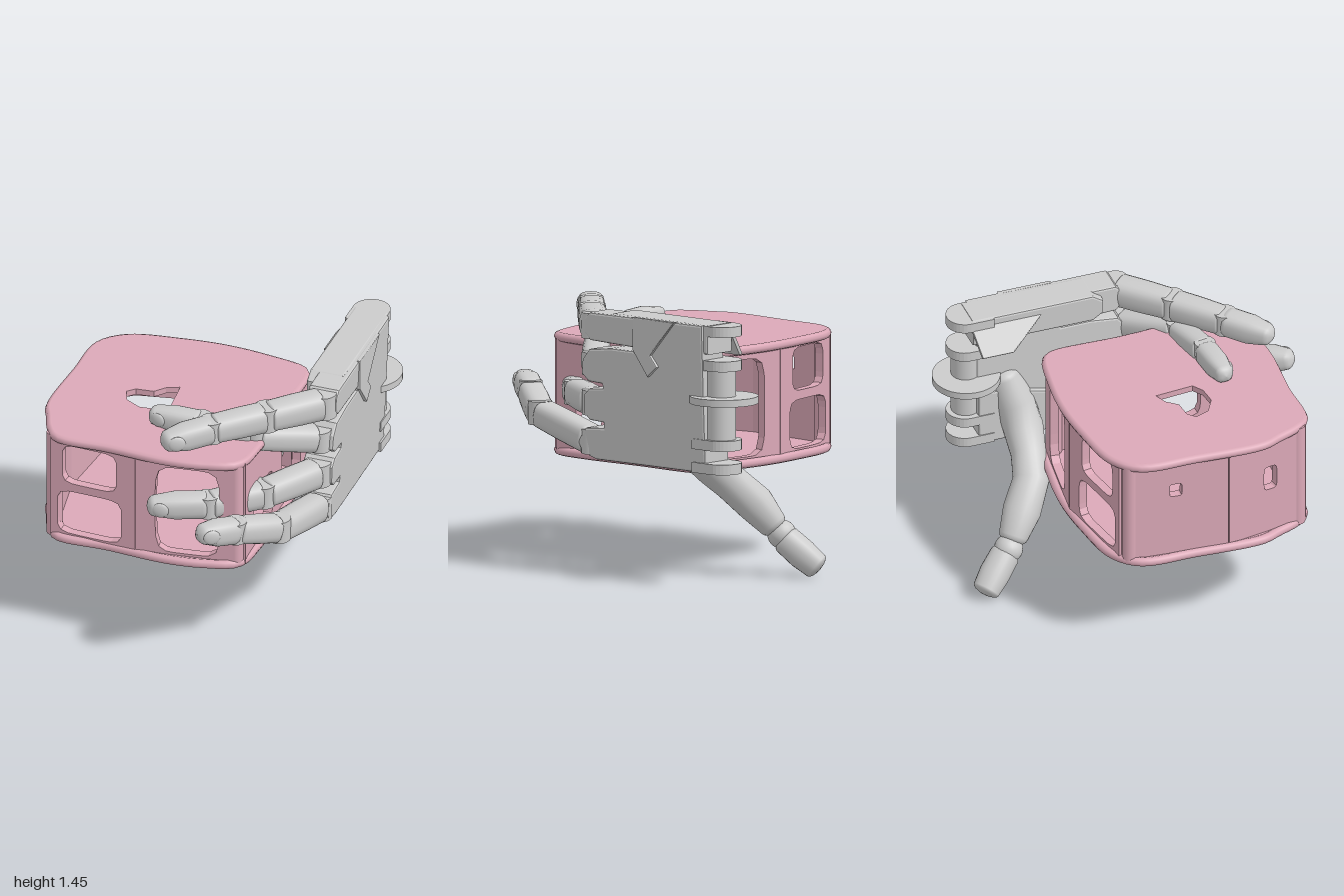
import * as THREE from 'three';

const grey = new THREE.MeshStandardMaterial({ color: 0xcccccc });
const pink = new THREE.MeshStandardMaterial({ color: 0xdca9b8, side: THREE.DoubleSide });
const V = (p) => new THREE.Vector3(...p);

function add(parent, name, geometry, material = grey) {
  const mesh = new THREE.Mesh(geometry, material);
  mesh.name = name;
  parent.add(mesh);
  return mesh;
}

// Rounded-square loft through centres with a radius at each; ends are closed by domes.
function loft(centres, radii, square = 2.6, domeLength = 0.6) {
  const pts = centres.map(V), N = 24, rings = [], n = pts.length;
  const dirAt = (i) => pts[Math.min(i + 1, n - 1)].clone().sub(pts[Math.max(i - 1, 0)]).normalize();
  const dome = [[0.02, 1], [0.45, 0.88], [0.75, 0.64], [0.93, 0.35]];
  const d0 = dirAt(0), d1 = dirAt(n - 1);
  for (const [s, h] of dome) rings.push([pts[0].clone().addScaledVector(d0, -h * domeLength * radii[0]), radii[0] * s, d0]);
  pts.forEach((p, i) => rings.push([p, radii[i], dirAt(i)]));
  for (const [s, h] of [...dome].reverse()) rings.push([pts[n - 1].clone().addScaledVector(d1, h * domeLength * radii[n - 1]), radii[n - 1] * s, d1]);
  const pos = [], idx = [];
  rings.forEach(([c, r, d], i) => {
    const side = new THREE.Vector3(0, 1, 0).cross(d).normalize();
    const up = d.clone().cross(side);
    for (let j = 0; j < N; j++) {
      const a = (j / N) * Math.PI * 2, ca = Math.cos(a), sa = Math.sin(a);
      const k = r / Math.pow(Math.abs(ca) ** square + Math.abs(sa) ** square, 1 / square);
      pos.push(...c.clone().addScaledVector(side, ca * k).addScaledVector(up, sa * k).toArray());
      if (i === rings.length - 1) continue;
      const p = i * N + j, q = i * N + ((j + 1) % N);
      idx.push(p, q, p + N, q, q + N, p + N);
    }
  });
  const g = new THREE.BufferGeometry();
  g.setAttribute('position', new THREE.Float32BufferAttribute(pos, 3));
  g.setIndex(idx);
  g.computeVertexNormals();
  return g;
}

const mix = (a, b, t) => a.map((v, i) => v + (b[i] - v) * t);

// Three tapering phalanges with rounded joints between, and a nail on the tip.
function finger(name, p, r) {
  const g = new THREE.Group();
  g.name = name;
  for (let i = 0; i < 3; i++) {
    const k = r * (1 - 0.05 * i), a = p[i], b = p[i + 1];
    const end = i === 2 ? 0.8 : 0.92;
    add(g, 'phalanx', loft([mix(a, b, 0.1), mix(a, b, 0.5), mix(a, b, end)], [k, k, k * (i === 2 ? 0.76 : 0.95)], 3, i === 2 ? 0.75 : 0.35));
    const joint = add(g, 'joint', new THREE.CylinderGeometry(k * 0.88, k * 0.88, k * 1.7, 20));
    joint.position.set(...a);
  }
  const d = V(p[3]).sub(V(p[2])).normalize();
  const side = new THREE.Vector3(0, 1, 0).cross(d).normalize();
  const nail = add(g, 'nail', new THREE.SphereGeometry(1, 16, 10));
  nail.scale.set(r * 0.2, r * 0.55, r * 0.6);
  nail.position.copy(V(mix(p[2], p[3], 0.72))).addScaledVector(side, r * 0.68);
  nail.lookAt(nail.position.clone().add(d).addScaledVector(side, -0.25));
  return g;
}

// Outline in (z, y), extruded along x from x0.
function sideExtrude(outline, x0, width, bevel) {
  const s = new THREE.Shape(outline.map(([z, y]) => new THREE.Vector2(-z, y)));
  const g = new THREE.ExtrudeGeometry(s, { depth: width - 2 * bevel, bevelEnabled: bevel > 0, bevelSize: bevel, bevelThickness: bevel, bevelOffset: -bevel, bevelSegments: 2 });
  return g.rotateY(Math.PI / 2).translate(x0 + bevel, 0, 0);
}

// Outline in (x, z), extruded upward from y0.
function plate(outline, y0, height, hole) {
  const to2 = ([x, z]) => new THREE.Vector2(x, -z);
  const s = new THREE.Shape(outline.map(to2));
  if (hole) s.holes.push(new THREE.Path(hole.map(to2)));
  return new THREE.ExtrudeGeometry(s, { depth: height, bevelEnabled: false }).rotateX(-Math.PI / 2).translate(0, y0, 0);
}

// Upright wall from a to b in (x, z), with soft windows [u0, u1, y0, y1].
function wall(parent, name, a, b, windows) {
  const L = Math.hypot(b[0] - a[0], b[1] - a[1]);
  const s = new THREE.Shape([[0, 0.6], [L, 0.6], [L, 1.24], [0, 1.24]].map((p) => new THREE.Vector2(...p)));
  for (const [u0, u1, y0, y1] of windows) {
    const pts = [];
    for (let i = 0; i < 32; i++) {
      const t = (i / 32) * Math.PI * 2, c = Math.cos(t), n = Math.sin(t);
      const k = 0.5 / Math.pow(c ** 6 + n ** 6, 1 / 6);
      pts.push(new THREE.Vector2((u0 + u1) / 2 + c * k * (u1 - u0), (y0 + y1) / 2 + n * k * (y1 - y0)));
    }
    s.holes.push(new THREE.Path(pts));
  }
  const m = add(parent, name, new THREE.ExtrudeGeometry(s, { depth: 0.05, bevelEnabled: false }).translate(0, 0, -0.025), pink);
  m.position.set(a[0], 0, a[1]);
  m.rotation.y = -Math.atan2(b[1] - a[1], b[0] - a[0]);
}

function buildCrate() {
  const g = new THREE.Group();
  g.name = 'crate';
  const curve = new THREE.CatmullRomCurve3([
    [-0.79, 0.4], [-0.78, 0], [-0.76, -0.3], [-0.64, -0.42], [-0.35, -0.48], [-0.1, -0.5], [0.15, -0.48], [0.38, -0.43], [0.41, -0.38],
    [0.41, 0], [0.42, 0.4], [0.38, 0.62], [0.2, 0.69], [0, 0.715], [-0.35, 0.695], [-0.64, 0.69], [-0.7, 0.62], [-0.75, 0.5],
  ].map(([x, z]) => new THREE.Vector3(x, 0, z)), true, 'centripetal');
  const outline = curve.getPoints(90).slice(0, -1).map((p) => [p.x, p.z]);
  const hole = [[-0.44, 0.14], [-0.4, 0.1], [-0.3, 0.09], [-0.25, 0.03], [-0.18, 0], [-0.16, 0.22], [-0.22, 0.26], [-0.32, 0.27], [-0.41, 0.22]];
  add(g, 'lid', plate(outline, 1.225, 0.035, hole), pink);
  add(g, 'floor', plate(outline, 0.59, 0.035), pink);
  for (const y of [1.235, 0.607]) {
    add(g, 'rim', new THREE.TubeGeometry(curve, 100, 0.026, 8, true), pink).position.y = y;
  }
  // Front and back walls share the same pattern of windows
  const left = [[0.07, 0.39, 0.96, 1.2], [0.04, 0.42, 0.64, 0.91]], right = [[0.11, 0.47, 0.64, 1.18]];
  wall(g, 'frontWall', [-0.68, 0.665], [-0.18, 0.69], left);
  wall(g, 'frontWall', [-0.18, 0.69], [0.37, 0.62], right);
  wall(g, 'backWall', [-0.69, -0.38], [-0.18, -0.48], left);
  wall(g, 'backWall', [-0.18, -0.48], [0.38, -0.41], right);
  wall(g, 'leftWall', [-0.72, -0.33], [-0.765, 0.2], [[0.2, 0.27, 1.0, 1.08]]);
  wall(g, 'leftWall', [-0.765, 0.2], [-0.69, 0.62], [[0.22, 0.3, 0.9, 1.05]]);
  wall(g, 'rightWall', [0.385, -0.4], [0.395, 0.6], [[0.1, 0.4, 0.66, 1.16], [0.55, 0.86, 0.66, 0.96]]);
  for (const [x, z] of [[-0.705, -0.345], [0.37, -0.395], [0.365, 0.6], [-0.675, 0.64]]) {
    add(g, 'cornerPost', new THREE.CylinderGeometry(0.045, 0.045, 0.64, 16), pink).position.set(x, 0.92, z);
  }
  return g;
}

function buildPalm() {
  const g = new THREE.Group();
  g.name = 'palm';
  // Slab with a lobe for each finger
  const slab = sideExtrude([
    [-0.77, 0.65], [0.03, 0.65], [0.13, 0.68], [0.16, 0.74], [0.1, 0.82], [-0.03, 0.83], [-0.03, 0.86], [0.07, 0.865], [0.11, 0.9], [0.11, 1.0],
    [0.07, 1.04], [-0.03, 1.05], [-0.03, 1.075], [0.07, 1.08], [0.12, 1.12], [0.11, 1.2], [0.06, 1.26], [-0.1, 1.28],
    [-0.27, 1.28], [-0.27, 1.3], [0.05, 1.31], [0.09, 1.35], [0.09, 1.43], [0.05, 1.465], [-0.77, 1.47],
  ], 0.575, 0.175, 0.012);
  const pos = slab.attributes.position;
  for (let i = 0; i < pos.count; i++) pos.setX(i, pos.getX(i) + 0.04 * (pos.getY(i) - 1.06) + 0.01 * pos.getZ(i));
  slab.computeVertexNormals();
  add(g, 'palmSlab', slab);
  add(g, 'upperRidge', sideExtrude([[-0.8, 1.31], [-0.1, 1.31], [-0.04, 1.35], [-0.04, 1.43], [-0.1, 1.47], [-0.8, 1.47]], 0.54, 0.2, 0.012));
  add(g, 'lowerRidge', sideExtrude([[-0.77, 0.65], [-0.05, 0.65], [0.05, 0.72], [-0.1, 0.85], [-0.77, 1.0]], 0.535, 0.15, 0.012));
  add(g, 'creasePlate', sideExtrude([[-0.27, 1.29], [-0.38, 1.15], [-0.45, 1.21], [-0.4, 1.27], [-0.58, 1.47], [-0.27, 1.47]], 0.745, 0.025, 0.006));
  // Thin web leaning inward beside the upper ridge
  const web = sideExtrude([[-0.81, 1.44], [-0.78, 1.25], [-0.6, 1.25], [-0.38, 1.44]], 0, 0.025, 0.005);
  web.translate(0, -1.44, 0).rotateZ(-0.65).translate(0.55, 1.44, 0);
  add(g, 'web', web);

  // Wrist lugs with rounded backs, and a wider disc in the middle
  const lug = [[0.74, -0.68], [0.53, -0.68]];
  for (let i = 0; i <= 16; i++) {
    const a = Math.PI + (i / 16) * Math.PI;
    lug.push([0.635 + 0.105 * Math.cos(a), -0.815 + 0.105 * Math.sin(a)]);
  }
  for (const y of [0.65, 0.78, 1.22, 1.41]) add(g, 'wristLug', plate(lug, y, 0.057));
  add(g, 'wristDisc', new THREE.CylinderGeometry(0.188, 0.188, 0.04, 48)).position.set(0.62, 1.055, -0.812);
  add(g, 'wristCore', new THREE.CylinderGeometry(0.08, 0.08, 0.44, 24)).position.set(0.64, 1.03, -0.81);
  return g;
}

function buildThumb() {
  const g = new THREE.Group();
  g.name = 'thumb';
  add(g, 'thumbBase', loft(
    [[0.61, 1.02, -0.6], [0.575, 0.86, -0.55], [0.51, 0.72, -0.52], [0.4, 0.62, -0.53], [0.28, 0.53, -0.56], [0.18, 0.41, -0.65], [0.12, 0.3, -0.72]],
    [0.09, 0.11, 0.11, 0.097, 0.1, 0.105, 0.08], 2.2));
  add(g, 'thumbJoint', new THREE.SphereGeometry(0.08, 20, 14)).position.set(0.09, 0.245, -0.76);
  add(g, 'thumbTip', loft([[0.08, 0.215, -0.785], [0.035, 0.14, -0.86], [-0.008, 0.075, -0.925]], [0.08, 0.083, 0.074], 2.3, 0.4));
  return g;
}

export function createModel() {
  const model = new THREE.Group();
  model.name = 'handHoldingCrate';
  const hand = new THREE.Group();
  hand.name = 'hand';
  hand.add(
    buildPalm(),
    buildThumb(),
    finger('indexFinger', [[0.685, 1.385, 0.08], [0.44, 1.385, 0.32], [0.2, 1.38, 0.54], [-0.03, 1.365, 0.76]], 0.083),
    finger('middleFinger', [[0.67, 1.17, 0.1], [0.38, 1.25, 0.33], [0.08, 1.3, 0.38], [-0.24, 1.315, 0.4]], 0.074),
    finger('ringFinger', [[0.665, 0.955, 0.1], [0.46, 0.955, 0.42], [0.22, 0.96, 0.64], [-0.12, 0.965, 0.79]], 0.08),
    finger('littleFinger', [[0.67, 0.74, 0.1], [0.6, 0.845, 0.56], [0.43, 0.92, 0.78], [0.27, 0.97, 0.98]], 0.08),
  );
  model.add(buildCrate(), hand);
  return model;
}
